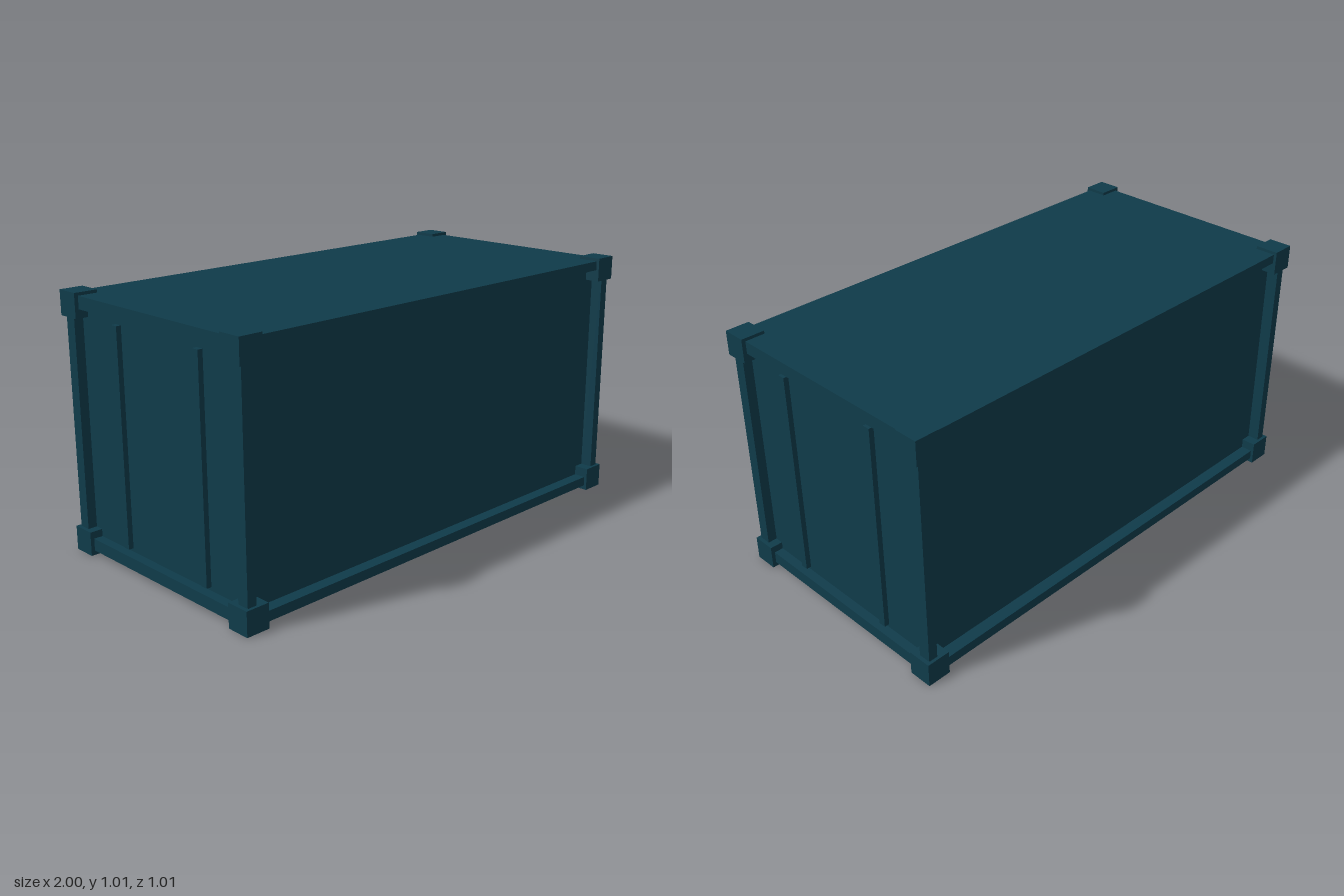
import * as THREE from 'three';

// Main dimensions: outer frame, recessed walls, corner blocks
const OX = 0.985, OZ = 0.493, IX = 0.948, IZ = 0.445;
const BOTTOM = 0.018, ROOF = 1.0, HEIGHT = 1.012, BLOCK = 0.095;
const SIDE_LOW = 0.057, SIDE_HIGH = 0.963, END_LOW = 0.066, END_HIGH = 0.951;
const RIB_LOW = 0.08, RIB_HIGH = 0.92, RIB_DEPTH = 0.02;
const RIBS = [[0.225, 0.255], [-0.235, -0.205]];
const FACES = ['+x', '-x', '+y', '-y', '+z', '-z'];

// Box between two corners that keeps only the listed faces
function sheetBox(x, y, z, keep) {
  const size = (r) => Math.abs(r[1] - r[0]);
  const mid = (r) => (r[0] + r[1]) / 2;
  const geo = new THREE.BoxGeometry(size(x), size(y), size(z));
  const index = Array.from(geo.index.array);
  geo.setIndex(FACES.flatMap((f, i) => (keep.includes(f) ? index.slice(i * 6, i * 6 + 6) : [])));
  geo.clearGroups();
  return geo.translate(mid(x), mid(y), mid(z));
}

function rect(PathType, x0, x1, y0, y1) {
  return new PathType([[x0, y0], [x1, y0], [x1, y1], [x0, y1]].map((p) => new THREE.Vector2(...p)));
}

export function createModel() {
  const model = new THREE.Group();
  model.name = 'shippingContainer';
  const paint = new THREE.MeshStandardMaterial({ color: 0x0f3b4a, side: THREE.DoubleSide });
  paint.name = 'dark teal paint';
  const add = (name, geo) => {
    const mesh = new THREE.Mesh(geo, paint);
    mesh.name = name;
    model.add(mesh);
  };

  // Roof sheet
  add('roof', new THREE.PlaneGeometry(OX * 2, OZ * 2).rotateX(-Math.PI / 2).translate(0, ROOF, 0));

  for (const s of [1, -1]) {
    const out = (axis) => (s > 0 ? '+' : '-') + axis;
    const side = s > 0 ? 'front' : 'back';
    const end = s > 0 ? 'left' : 'right';

    // Long wall with its top and bottom rails, open on the inside
    const wall = new THREE.PlaneGeometry(IX * 2, SIDE_HIGH - SIDE_LOW);
    if (s < 0) wall.rotateY(Math.PI);
    add(side + 'Wall', wall.translate(0, (SIDE_HIGH + SIDE_LOW) / 2, s * IZ));
    const zRange = [s * IZ, s * OZ];
    add(side + 'TopRail', sheetBox([-OX, OX], [SIDE_HIGH, ROOF], zRange, [out('z'), '-y']));
    add(side + 'BottomRail', sheetBox([-OX, OX], [BOTTOM, SIDE_LOW], zRange, [out('z'), '+y']));

    // End wall with slots that open into two raised hollow ribs
    const shape = rect(THREE.Shape, -IZ, IZ, END_LOW, END_HIGH);
    for (const [a, b] of RIBS) {
      shape.holes.push(rect(THREE.Path, -s * a, -s * b, RIB_LOW, RIB_HIGH));
      add(end + 'EndRib', sheetBox([s * IX, s * (IX + RIB_DEPTH)], [RIB_LOW, RIB_HIGH], [a, b],
        [out('x'), '+y', '-y', '+z', '-z']));
    }
    add(end + 'EndWall', new THREE.ShapeGeometry(shape).rotateY(s * Math.PI / 2).translate(s * IX, 0, 0));
    const xRange = [s * IX, s * OX];
    add(end + 'EndTopRail', sheetBox(xRange, [END_HIGH, ROOF], [-OZ, OZ], [out('x'), '-y']));
    add(end + 'EndBottomRail', sheetBox(xRange, [BOTTOM, END_LOW], [-OZ, OZ], [out('x'), '+y']));

    // Corner posts and corner blocks; the lower blocks are open underneath
    for (const t of [1, -1]) {
      add('cornerPost', sheetBox(xRange, [SIDE_LOW, SIDE_HIGH], [t * IZ, t * OZ], ['+x', '-x', '+z', '-z']));
      const bx = [s * (1 - BLOCK), s], bz = [t * (0.505 - BLOCK), t * 0.505];
      add('upperCornerBlock', sheetBox(bx, [HEIGHT - BLOCK, HEIGHT], bz, FACES));
      add('lowerCornerBlock', sheetBox(bx, [0, BLOCK], bz, FACES.filter((f) => f !== '-y')));
    }
  }
  return model;
}
